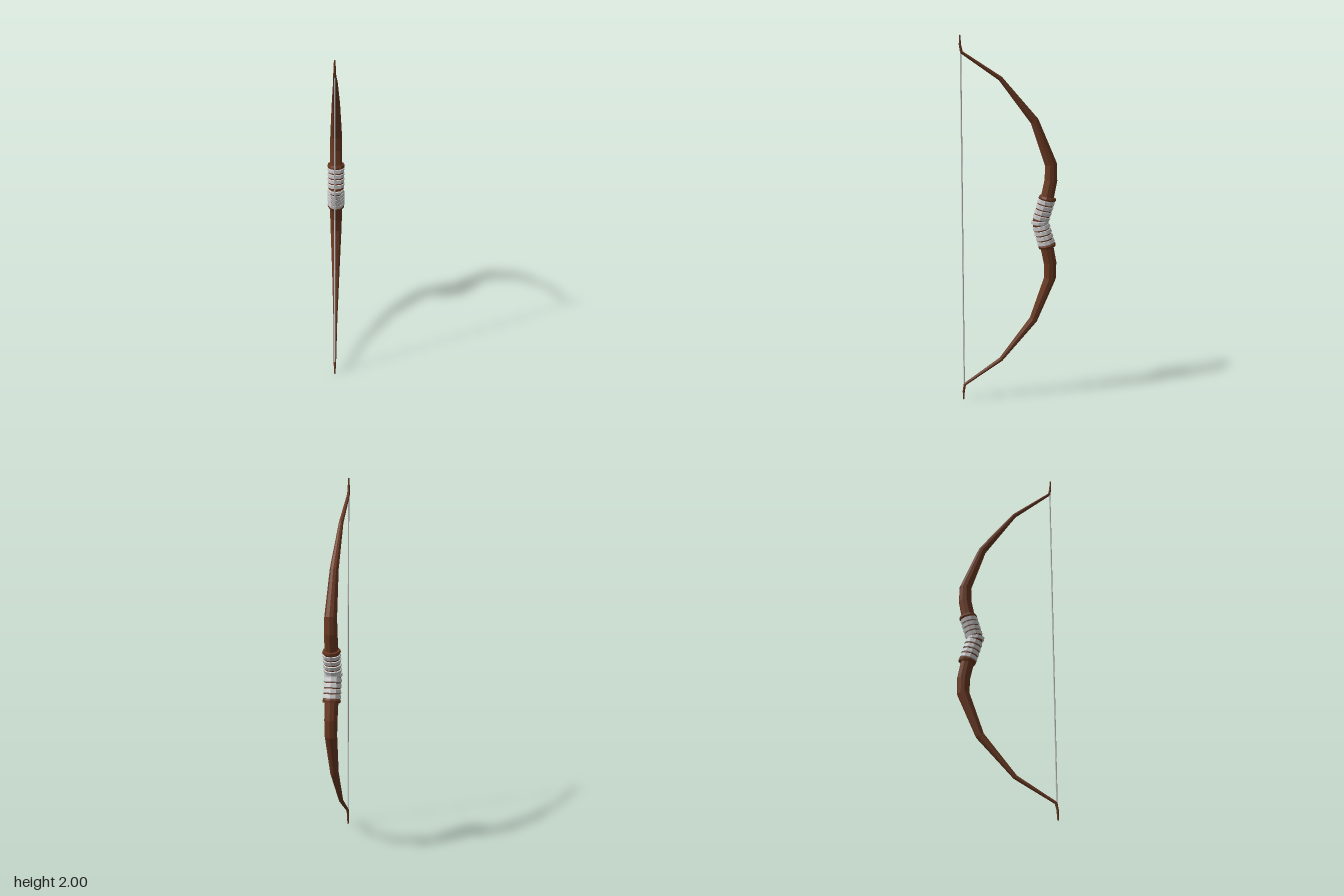
import * as THREE from 'three';

const SIDES = 10;
const wood = new THREE.MeshStandardMaterial({ color: 0x6b3a22, flatShading: true });
const grey = new THREE.MeshStandardMaterial({ color: 0xcccccc, flatShading: true });

// Skins ten-sided rings [y, z, radius, tangentY, tangentZ] from bottom to top
function loft(rings, material, name) {
  const pos = [], index = [];
  rings.forEach(([y, z, r, ty, tz]) => {
    for (let j = 0; j < SIDES; j++) {
      const a = (j / SIDES) * Math.PI * 2;
      const c = Math.cos(a) * r;
      pos.push(Math.sin(a) * r, y - tz * c, z + ty * c);
    }
  });
  for (let i = 0; i < rings.length - 1; i++) {
    for (let j = 0; j < SIDES; j++) {
      const k = (j + 1) % SIDES;
      const a = i * SIDES + j, b = i * SIDES + k;
      index.push(a, b, b + SIDES, a, b + SIDES, a + SIDES);
    }
  }
  const geo = new THREE.BufferGeometry();
  geo.setAttribute('position', new THREE.Float32BufferAttribute(pos, 3));
  geo.setIndex(index);
  geo.computeVertexNormals();
  const mesh = new THREE.Mesh(geo, material);
  mesh.name = name;
  return mesh;
}

// Adds to each [y, z, radius] the direction of the path through it
function withTangents(path) {
  return path.map(([y, z, r], i) => {
    const p = path[Math.max(i - 1, 0)], n = path[Math.min(i + 1, path.length - 1)];
    const unit = (a, b) => {
      const l = Math.hypot(b[0] - a[0], b[1] - a[1]) || 1;
      return [(b[0] - a[0]) / l, (b[1] - a[1]) / l];
    };
    const u = unit(p, path[i]), v = unit(path[i], n);
    const l = Math.hypot(u[0] + v[0], u[1] + v[1]);
    return [y, z, r, (u[0] + v[0]) / l, (u[1] + v[1]) / l];
  });
}

// Repeats upper rings below the middle, reversed
function mirrored(rings) {
  return rings.map(([y, z, r, ty, tz]) => [2 - y, z, r, ty, -tz]).reverse();
}

export function createModel() {
  const bow = new THREE.Group();
  bow.name = 'bow';

  // Recurved upper limb, from above the grip to the nock tip
  const limb = withTangents([
    [1.12, -0.201, 0.036], [1.23, -0.223, 0.035], [1.315, -0.223, 0.033],
    [1.55, -0.132, 0.023], [1.775, 0.05, 0.012], [1.912, 0.253, 0.008],
    [1.95, 0.26, 0.006], [1.9995, 0.261, 0.004],
  ]);
  limb.push([2, 0.261, 0, 1, 0]);
  bow.add(loft(limb, wood, 'upperLimb'), loft(mirrored(limb), wood, 'lowerLimb'));

  // Thicker wooden handle with stepped ends, bent at the middle
  const lean = [0.97, -0.24];
  const half = [
    [1.03, -0.173, 0.043, ...lean], [1.12, -0.201, 0.044, ...lean],
    [1.128, -0.204, 0.049, ...lean], [1.14, -0.208, 0.046, ...lean],
    [1.14, -0.208, 0, ...lean],
  ];
  bow.add(loft([...mirrored(half), [1, -0.165, 0.043, 1, 0], ...half], wood, 'handle'));

  // Grip wrapping: four flared bands either side of a centre band
  const wrap = new THREE.Group();
  wrap.name = 'gripWrap';
  const onGrip = (y, r) => [y, -0.165 - (y - 1) * 0.3, r, ...lean];
  for (let i = 0; i < 4; i++) {
    const y = 1.013 + i * 0.028;
    const band = [
      onGrip(y, 0.042), onGrip(y + 0.002, 0.046), onGrip(y + 0.021, 0.049),
      onGrip(y + 0.024, 0.042),
    ];
    wrap.add(loft(band, grey, 'upperBand'), loft(mirrored(band), grey, 'lowerBand'));
  }
  wrap.add(loft([
    [0.989, -0.163, 0.042, 1, 0], [0.992, -0.163, 0.048, 1, 0],
    [1.008, -0.163, 0.048, 1, 0], [1.011, -0.163, 0.042, 1, 0],
  ], grey, 'centreBand'));
  bow.add(wrap);

  // Bowstring between the nocks
  const string = new THREE.Mesh(new THREE.CylinderGeometry(0.004, 0.004, 1.82, 6), grey);
  string.name = 'bowstring';
  string.position.set(0, 1, 0.257);
  bow.add(string);

  return bow;
}
